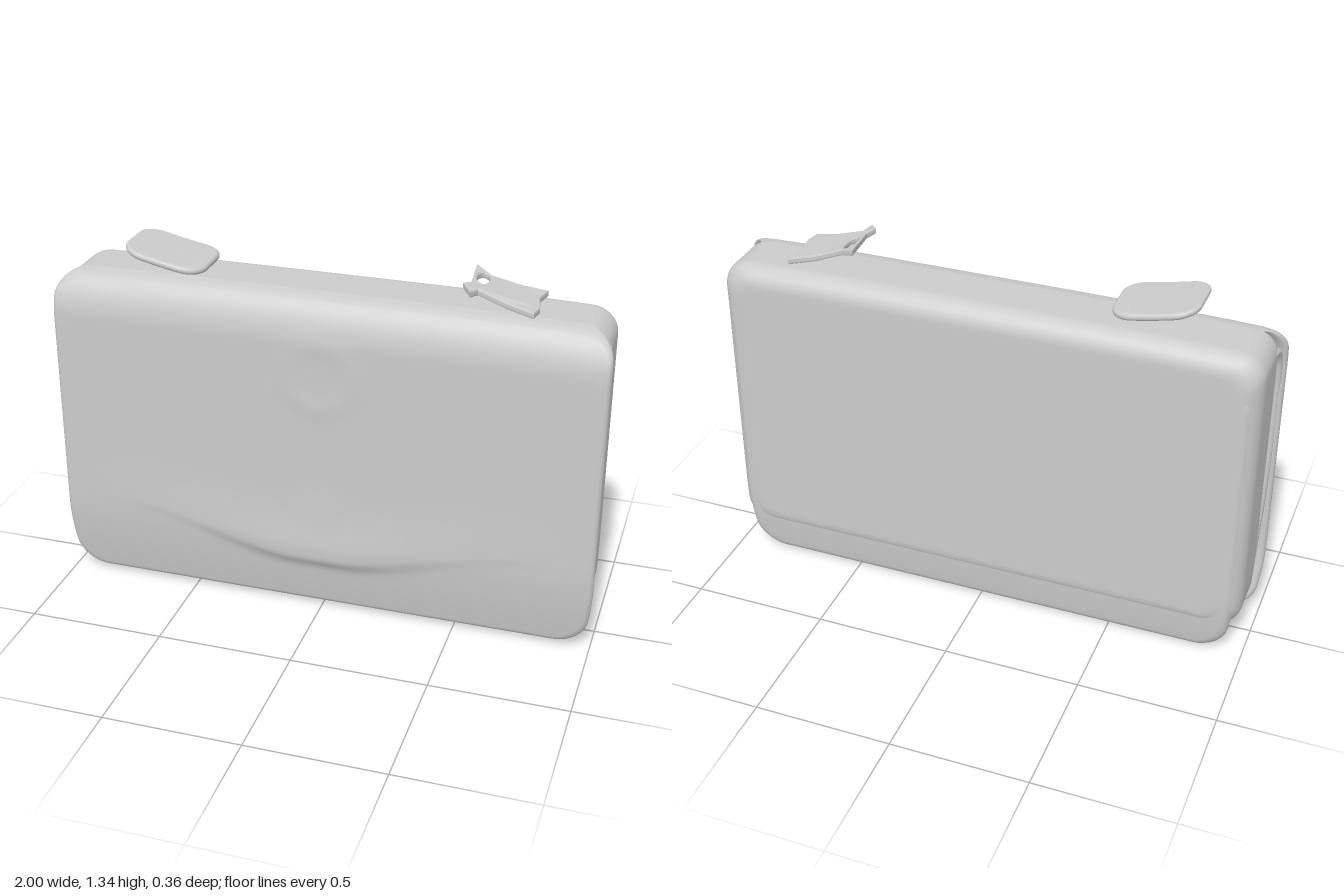
import * as THREE from 'three';

const material = new THREE.MeshStandardMaterial({ color: 0xcccccc });
const thin = new THREE.MeshStandardMaterial({ color: 0xcccccc, side: THREE.DoubleSide });

// Counter-clockwise rounded rectangle, with points along the straight runs too.
function roundedRect(hw, hh, r, nx, ny, nc) {
  const pts = [];
  const corners = [[1, 1], [-1, 1], [-1, -1], [1, -1]];
  corners.forEach(([sx, sy], k) => {
    const cx = sx * (hw - r), cy = sy * (hh - r);
    for (let i = 0; i <= nc; i++) {
      const a = (k + i / nc) * Math.PI / 2;
      pts.push([cx + r * Math.cos(a), cy + r * Math.sin(a)]);
    }
    const [ex, ey] = pts[pts.length - 1];
    const [tx, ty] = corners[(k + 1) % 4];
    const n = k % 2 ? ny : nx;
    const gx = k % 2 ? ex : tx * (hw - r), gy = k % 2 ? ty * (hh - r) : ey;
    for (let i = 1; i < n; i++) pts.push([ex + (gx - ex) * i / n, ey + (gy - ey) * i / n]);
  });
  return pts;
}

// Padded slab: concentric rings over the front, round the rim and over the back.
function cushion({ x0, x1, y0, y1, zBack, zFront, corner, rimFront, rimBack, steps = 24, nx = 50, ny = 26 }, warp) {
  const hw = (x1 - x0) / 2, hh = (y1 - y0) / 2, min = Math.min(hw, hh) * 0.999;
  const profile = [], arc = 7;
  for (let i = 0; i < steps; i++) profile.push([min + (rimFront - min) * i / steps, zFront]);
  for (let i = 0; i <= arc; i++) {
    const a = i / arc * Math.PI / 2;
    profile.push([rimFront * (1 - Math.sin(a)), zFront - rimFront * (1 - Math.cos(a))]);
  }
  for (let i = 0; i <= arc; i++) {
    const a = i / arc * Math.PI / 2;
    profile.push([rimBack * (1 - Math.cos(a)), zBack + rimBack * (1 - Math.sin(a))]);
  }
  for (let i = 1; i <= steps; i++) profile.push([rimBack + (min - rimBack) * i / steps, zBack]);

  const pos = [], index = [], v = new THREE.Vector3();
  let n = 0;
  for (const [inset, z] of profile) {
    const ring = roundedRect(hw - inset, hh - inset, corner * (1 - inset / min), nx, ny, 8);
    n = ring.length;
    for (const [x, y] of ring) {
      v.set(x + (x0 + x1) / 2, y + (y0 + y1) / 2, z);
      if (warp) warp(v);
      pos.push(v.x, v.y, v.z);
    }
  }
  for (let i = 0; i < profile.length - 1; i++) {
    for (let j = 0; j < n; j++) {
      const a = i * n + j, b = i * n + (j + 1) % n;
      index.push(a, a + n, b + n, a, b + n, b);
    }
  }
  const geo = new THREE.BufferGeometry();
  geo.setAttribute('position', new THREE.Float32BufferAttribute(pos, 3));
  geo.setIndex(index);
  geo.computeVertexNormals();
  return geo;
}

const bump = (d, w) => Math.exp(-(d * d) / (w * w));
const below = (y, limit) => Math.max(0, (limit - y) / limit);
const taper = v => { v.x *= 1 - 0.035 * below(v.y, 0.28) ** 2; };

// Main body, with a sagging underside
function warpCore(v) {
  taper(v);
  v.y -= 0.035 * bump(v.z + 0.01, 0.08) * Math.min(1, below(v.y, 0.25) * 2);
  v.y -= 0.012 * Math.max(0, (v.y - 1) / 0.23) * Math.abs(v.x) ** 4;
}

// Front cover: rolls over the top, leans in at the bottom, soft wavy crease on the face
function warpCover(v) {
  const outer = v.z > 0.15;
  taper(v);
  const { x, y } = v;
  if (outer) {
    const s = THREE.MathUtils.smoothstep(Math.abs(x), 0.08, 0.75);
    const d = y - (0.225 + 0.13 * s);
    const strength = (0.004 + 0.014 * bump(x, 0.35)) * (1 - Math.abs(x) ** 4);
    v.z += strength * (d > 0 ? bump(d, 0.13) : bump(d, 0.03));
    v.z += 0.003 * bump(Math.hypot(x, y - 0.95) - 0.12, 0.04) + 0.004 * bump(Math.hypot(x, y - 0.42), 0.07);
  }
  v.z -= 0.04 * below(y, 0.3) ** 1.5;
  const t = THREE.MathUtils.clamp((y - 1.06) / 0.17, 0, 1);
  v.z -= 0.1 * (1 - Math.sqrt(1 - t * t));
  v.y -= 0.012 * Math.max(0, (y - 1) / 0.23) * Math.abs(x) ** 4;
}

// Back lip, hanging below the body
function warpBack(v) {
  taper(v);
  v.z += 0.022 * below(v.y, 0.22) ** 1.5;
}

// Curved height of the zip pulls, rising toward -x
const pullHeight = (x, high, low, x0, x1) => low + (high - low) * Math.max(0, (x1 - x) / (x1 - x0)) ** 1.4;

export function createModel() {
  const model = new THREE.Group();
  const add = (name, geo, mat = material) => {
    const mesh = new THREE.Mesh(geo, mat);
    mesh.name = name;
    model.add(mesh);
    return mesh;
  };

  add('body', cushion({ x0: -0.98, x1: 0.98, y0: 0.105, y1: 1.232, zBack: -0.178, zFront: 0.115,
    corner: 0.09, rimFront: 0.07, rimBack: 0.075 }, warpCore));
  add('frontCover', cushion({ x0: -1, x1: 1, y0: 0.015, y1: 1.232, zBack: 0.122, zFront: 0.163,
    corner: 0.1, rimFront: 0.02, rimBack: 0.018, steps: 46 }, warpCover));
  add('backPanel', cushion({ x0: -0.955, x1: 0.955, y0: 0, y1: 1.15, zBack: -0.176, zFront: -0.125,
    corner: 0.1, rimFront: 0.015, rimBack: 0.032 }, warpBack));

  // Folded edge of the cover on each side, curling inward at the top
  for (const side of [-1, 1]) {
    const path = new THREE.CatmullRomCurve3([[0.955, 0.2, 0.118], [0.972, 0.6, 0.122], [0.975, 1.0, 0.125],
      [0.975, 1.1, 0.11], [0.973, 1.14, 0.075], [0.968, 1.145, 0.03]]
      .map(([x, y, z]) => new THREE.Vector3(side * x, y, z)));
    add(side > 0 ? 'leftFold' : 'rightFold', new THREE.TubeGeometry(path, 40, 0.013, 8));
  }

  // Solid rounded zip pull on the model's right
  const pull = cushion({ x0: -0.737, x1: -0.437, y0: -0.13, y1: 0.122, zBack: -0.013, zFront: 0.013,
    corner: 0.075, rimFront: 0.012, rimBack: 0.012, steps: 8, nx: 14, ny: 10 },
    v => { v.z += pullHeight(v.x, 1.327, 1.268, -0.737, -0.437); });
  pull.rotateX(-Math.PI / 2);
  add('rightZipPull', pull);

  // Slotted, uneven zip pull on the model's left
  const outline = new THREE.Shape([[0.485, 0.1], [0.5, -0.05], [0.48, -0.085], [0.515, -0.128], [0.532, -0.085],
    [0.63, -0.093], [0.725, -0.103], [0.735, -0.05], [0.72, 0.04], [0.735, 0.11], [0.64, 0.092], [0.545, 0.07]]
    .map(([x, y]) => new THREE.Vector2(x, y)));
  const slot = new THREE.Path();
  slot.absellipse(0.527, 0.018, 0.02, 0.045, 0, Math.PI * 2, true);
  outline.holes.push(slot);
  const slotted = new THREE.ExtrudeGeometry(outline, { depth: 0.012, bevelEnabled: true,
    bevelThickness: 0.006, bevelSize: 0.005, bevelOffset: -0.005, bevelSegments: 2, curveSegments: 20 });
  const p = slotted.attributes.position;
  for (let i = 0; i < p.count; i++) p.setZ(i, p.getZ(i) + pullHeight(p.getX(i), 1.318, 1.243, 0.48, 0.735));
  slotted.rotateX(-Math.PI / 2);
  slotted.computeVertexNormals();
  add('leftZipPull', slotted, thin);

  return model;
}
